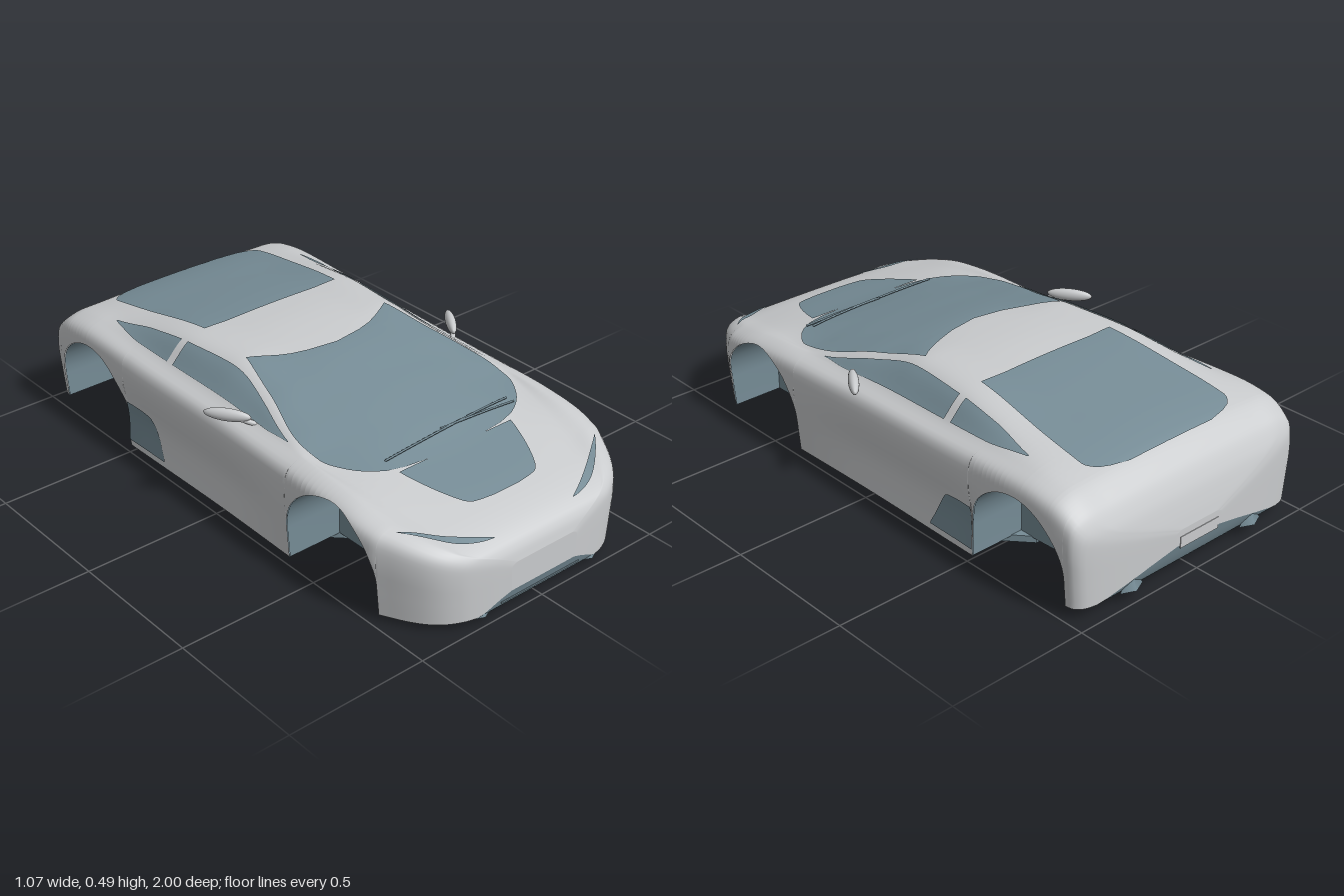
import * as THREE from 'three';

const silver = new THREE.MeshStandardMaterial({ color: 0xc9cbcd, side: THREE.DoubleSide });
silver.name = 'silverPaint';
const slate = new THREE.MeshStandardMaterial({ color: 0x768c96, side: THREE.DoubleSide });
slate.name = 'slateGlass';

// smooth monotone interpolation through [z, value] keys
function track(...k) {
  const slope = i => (k[i + 1][1] - k[i][1]) / (k[i + 1][0] - k[i][0]);
  const m = k.map((_, i) => {
    if (i === 0) return slope(0);
    if (i === k.length - 1) return slope(i - 1);
    const a = slope(i - 1), b = slope(i);
    return a * b <= 0 ? 0 : (2 * a * b) / (a + b);
  });
  return z => {
    if (z <= k[0][0]) return k[0][1];
    if (z >= k[k.length - 1][0]) return k[k.length - 1][1];
    let i = 0;
    while (z > k[i + 1][0]) i++;
    const d = k[i + 1][0] - k[i][0], s = (z - k[i][0]) / d, s2 = s * s, s3 = s2 * s;
    return (2 * s3 - 3 * s2 + 1) * k[i][1] + (s3 - 2 * s2 + s) * d * m[i]
      + (3 * s2 - 2 * s3) * k[i + 1][1] + (s3 - s2) * d * m[i + 1];
  };
}

// body lines along the length
const width = track([-1, 0.1], [-0.99, 0.25], [-0.975, 0.4], [-0.96, 0.468], [-0.93, 0.495], [-0.8, 0.506], [-0.5, 0.505],
  [0, 0.5], [0.4, 0.505], [0.65, 0.507], [0.75, 0.495], [0.8, 0.472], [0.88, 0.425], [0.93, 0.38], [0.97, 0.31], [0.99, 0.22], [1, 0.14]);
const centreTop = track([-1, 0.175], [-0.99, 0.22], [-0.97, 0.285], [-0.93, 0.35], [-0.85, 0.405], [-0.6, 0.45], [-0.34, 0.48],
  [-0.18, 0.487], [0, 0.48], [0.25, 0.435], [0.45, 0.388], [0.6, 0.347], [0.8, 0.305], [0.9, 0.278], [0.97, 0.243], [0.99, 0.215], [1, 0.18]);
const fenderTop = track([-1, 0.17], [-0.99, 0.215], [-0.97, 0.28], [-0.93, 0.342], [-0.85, 0.388], [-0.72, 0.402], [-0.3, 0.39],
  [0, 0.383], [0.3, 0.374], [0.45, 0.37], [0.6, 0.357], [0.75, 0.325], [0.9, 0.28], [0.97, 0.24], [0.99, 0.212], [1, 0.178]);
const railX = track([-0.95, 0.33], [-0.6, 0.36], [-0.3, 0.345], [-0.05, 0.325], [0.2, 0.38], [0.4, 0.415], [0.6, 0.38], [0.9, 0.3]);
const railY = track([-1, 0.173], [-0.99, 0.218], [-0.97, 0.283], [-0.93, 0.346], [-0.85, 0.396], [-0.6, 0.434], [-0.3, 0.471],
  [-0.1, 0.474], [0.1, 0.437], [0.3, 0.39], [0.4, 0.37], [0.6, 0.347], [0.8, 0.303], [0.9, 0.275], [0.97, 0.241], [0.99, 0.213], [1, 0.179]);
const bottom = track([-1, 0.12], [-0.985, 0.07], [-0.97, 0.04], [-0.9, 0.038], [-0.5, 0.02], [0.8, 0.02], [0.98, 0.025], [1, 0.08]);
const doorInset = track([-0.6, 0], [-0.4, 0.022], [0, 0.02], [0.32, 0]);

// wheel arches
const arches = [{ z: 0.57, r: 0.202, y: 0.135 }, { z: -0.71, r: 0.2, y: 0.13 }];
const wellX = 0.28;
const archAt = z => arches.find(a => Math.abs(z - a.z) < a.r);
const archY = z => {
  const a = archAt(z);
  return a ? a.y + Math.sqrt(a.r * a.r - (z - a.z) ** 2) : 0;
};
const floorY = z => (z < -0.76 && z > -0.905 ? 0.1 : bottom(z));

// half cross-section: t = 0 lower edge, 4 fender crest, 5 roof rail, 7 centre line
const cache = new Map();
function section(z) {
  if (!cache.has(z)) {
    const w = width(z), b = bottom(z), f = fenderTop(z) - b, rx = Math.min(railX(z), 0.82 * w), top = centreTop(z);
    const midY = top - 0.25 * (top - railY(z));
    const pts = [[0.965 * w, b], [0.985 * w - doorInset(z), b + 0.35 * f], [w, b + 0.72 * f], [0.975 * w, b + 0.92 * f],
      [0.87 * w, b + f], [rx, railY(z)], [rx / 2, midY], [0, top], [-rx / 2, midY]];
    cache.set(z, new THREE.CatmullRomCurve3(pts.map(p => new THREE.Vector3(p[0], p[1], z))));
  }
  return cache.get(z);
}
const raw = (t, z) => section(z).getPoint(t / 8);
function skin(t, z, off = 0.004) {
  const p = raw(t, z), e = 0.004;
  const dt = raw(t + 0.02, z).sub(raw(t - 0.02 < 0 ? 0 : t - 0.02, z));
  const dz = raw(t, Math.min(z + e, 1)).sub(raw(t, Math.max(z - e, -1)));
  return p.addScaledVector(dt.cross(dz).normalize(), off);
}
function solve(test, lo, hi) {
  for (let i = 0; i < 26; i++) {
    const m = (lo + hi) / 2;
    if (test(m)) hi = m; else lo = m;
  }
  return (lo + hi) / 2;
}
const tAtX = (x, z) => solve(t => raw(t, z).x < x, 3, 7);
const tAtY = (y, z) => solve(t => raw(t, z).y > y, 0, 4);
const onTop = (x, z, off) => {
  const p = skin(tAtX(Math.abs(x), z), z, off);
  if (x < 0) p.x *= -1;
  return p;
};

const span = (a, b, n) => Array.from({ length: n + 1 }, (_, i) => a + ((b - a) * i) / n);

// surface from rows of points
function grid(rows) {
  const n = rows[0].length, idx = [];
  for (let i = 0; i < rows.length - 1; i++)
    for (let j = 0; j < n - 1; j++) {
      const a = i * n + j, c = a + n;
      idx.push(a, a + 1, c, a + 1, c + 1, c);
    }
  const g = new THREE.BufferGeometry().setFromPoints(rows.flat());
  g.setIndex(idx);
  g.computeVertexNormals();
  return g;
}
const flip = p => new THREE.Vector3(-p.x, p.y, p.z);

export function createModel() {
  const car = new THREE.Group();
  car.name = 'sportsCar';
  const add = (name, geo, mat) => {
    const m = new THREE.Mesh(geo, mat);
    m.name = name;
    car.add(m);
    return m;
  };
  const addPair = (name, rows, mat) => {
    add(name + 'Left', grid(rows), mat);
    add(name + 'Right', grid(rows.map(r => r.map(flip).reverse())), mat);
  };

  // lengthwise stations, denser at the ends and arches
  const zs = span(-1, 1, 130).map(s => Math.sin((s * Math.PI) / 2));
  for (const a of arches) {
    for (let k = 0; k <= 28; k++) zs.push(a.z + a.r * 0.9999 * Math.cos((k * Math.PI) / 28));
    zs.push(a.z - a.r - 0.0005, a.z + a.r + 0.0005);
  }
  zs.push(-0.7595, -0.7605, -0.9045, -0.9055);
  zs.sort((p, q) => p - q);

  // outer shell with the arches cut into its lower edge
  const rows = zs.map(z => {
    const t0 = archAt(z) ? tAtY(archY(z), z) : 0;
    const half = [...span(t0, 4, 14), ...span(4, 7, 24).slice(1)].map(t => raw(t, z));
    return [...half, ...half.slice(0, -1).reverse().map(flip)];
  });
  const cap = row => row.map(p => new THREE.Vector3(0, p.y, p.z));
  add('bodyShell', grid([cap(rows[0]), ...rows, cap(rows[rows.length - 1])]), silver);

  // floor
  add('floor', grid(zs.map(z => {
    const x = archAt(z) ? wellX : 0.965 * width(z);
    return [-x, 0, x].map(v => new THREE.Vector3(v, floorY(z), z));
  })), slate);
  const belly = new THREE.Shape([[0.2, 0.6], [0.25, 0.4], [0.35, 0.3], [0.35, -0.48], [0.27, -0.57],
    [-0.27, -0.57], [-0.35, -0.48], [-0.35, 0.3], [-0.25, 0.4], [-0.2, 0.6]].map(p => new THREE.Vector2(p[0], p[1])));
  const bellyGeo = new THREE.ExtrudeGeometry(belly, { depth: 0.024, bevelEnabled: false });
  bellyGeo.rotateX(Math.PI / 2).translate(0, 0.024, 0);
  add('bellyPlate', bellyGeo, slate);

  // wheel wells: arched liner and inner wall
  arches.forEach((a, i) => {
    const name = i ? 'rearWell' : 'frontWell';
    const path = [[a.z - a.r, bottom(a.z - a.r)], ...span(Math.PI, 0, 20).map(q => [a.z + a.r * Math.cos(q), a.y + a.r * Math.sin(q)]),
      [a.z + a.r, bottom(a.z + a.r)]];
    addPair(name + 'Liner', path.map(([z, y]) => {
      const zc = THREE.MathUtils.clamp(z, a.z - a.r * 0.9999, a.z + a.r * 0.9999);
      const edge = raw(tAtY(y, zc), zc).x - 0.002;
      return [wellX, edge].map(x => new THREE.Vector3(x, y, z));
    }), slate);
    const inside = zs.filter(z => Math.abs(z - a.z) < a.r);
    addPair(name + 'Wall', inside.map(z => [floorY(z), archY(z)].map(y => new THREE.Vector3(wellX, y, z))), slate);
  });

  // glass laid on the shell; each strip runs from an outer to an inner line
  const topPanel = (name, z0, z1, outer, inner = () => 0, n = 40) =>
    addPair(name, span(z0, z1, n).map(z => span(outer(z), Math.min(inner(z), outer(z)), 12).map(x => onTop(x, z))), slate);
  topPanel('windscreen', -0.08, 0.61,
    track([-0.08, 0.3], [0.1, 0.345], [0.35, 0.408], [0.42, 0.405], [0.5, 0.365], [0.57, 0.28], [0.6, 0.16], [0.61, 0.01]),
    z => (z < 0.02 ? 0.3 * Math.sqrt((0.02 - z) / 0.1) : 0));
  topPanel('hoodPanel', 0.6, 0.825, track([0.6, 0.24], [0.63, 0.232], [0.79, 0.16], [0.815, 0.13], [0.825, 0.05]));
  topPanel('rearWindow', -0.867, -0.325, track([-0.867, 0.18], [-0.845, 0.28], [-0.8, 0.318], [-0.325, 0.285]));

  const sill = track([-0.68, 4.42], [-0.5, 4.12], [0.18, 4.12], [0.3, 4.4]);
  const header = track([-0.68, 4.45], [-0.5, 4.82], [-0.2, 4.88], [0.12, 4.8], [0.3, 4.43]);
  const sidePanel = (name, z0, z1) =>
    addPair(name, span(z0, z1, 24).map(z => span(sill(z), header(z), 6).map(t => skin(t, z))), slate);
  sidePanel('doorWindow', -0.315, 0.29);
  sidePanel('quarterWindow', -0.67, -0.345);

  // side air intakes
  const intakeTop = track([-0.509, 0.2], [-0.39, 0.187], [-0.31, 0.05]);
  addPair('sideIntake', span(-0.509, -0.31, 14).map(z =>
    span(tAtY(0.043, z), tAtY(intakeTop(z), z), 6).map(t => skin(t, z))), slate);

  // slim headlights
  addPair('headlight', span(0, 1, 20).map(s => {
    const x = 0.17 + 0.255 * s, z = 0.945 - 0.06 * s - 0.09 * s * s, h = 0.014 * Math.sin(Math.PI * s) + 0.001;
    return [onTop(x, z - h), onTop(x, z + h)];
  }), slate);

  // wipers
  const wiper = (name, x0, z0, x1, z1) => {
    const c = new THREE.CatmullRomCurve3(span(0, 1, 8).map(s => onTop(x0 + (x1 - x0) * s, z0 + (z1 - z0) * s, 0.012)));
    add(name, new THREE.TubeGeometry(c, 24, 0.004, 5), slate);
  };
  wiper('wiperBlade', -0.25, 0.545, 0.3, 0.515);
  wiper('wiperArm', 0.0, 0.525, 0.31, 0.54);

  // mirrors and bumper fins on both sides
  for (const s of [1, -1]) {
    const side = s > 0 ? 'Left' : 'Right';
    const mirror = add('mirror' + side, new THREE.SphereGeometry(1, 20, 12), silver);
    mirror.scale.set(0.08, 0.022, 0.018);
    mirror.rotation.y = s > 0 ? 0.96 : Math.PI - 0.96;
    mirror.position.set(s * 0.486, 0.402, 0.06);
    const arm = new THREE.LineCurve3(new THREE.Vector3(s * 0.42, 0.375, 0.14), new THREE.Vector3(s * 0.47, 0.397, 0.09));
    add('mirrorArm' + side, new THREE.TubeGeometry(arm, 1, 0.009, 8), silver);
    for (const [name, x, y, z] of [['frontFin', 0.235, 0.052, 0.968], ['rearFin', 0.27, 0.07, -0.978]]) {
      const fin = add(name + side, new THREE.ConeGeometry(0.05, 0.06, 4).toNonIndexed(), slate);
      fin.scale.z = 0.45;
      fin.position.set(s * x, y, z);
    }
  }

  // bumper slot and rear plate holder
  add('bumperSlot', new THREE.BoxGeometry(0.34, 0.006, 0.008), slate).position.set(0, 0.045, 0.988);
  add('rearPlate', new THREE.BoxGeometry(0.17, 0.04, 0.008), silver).position.set(0, 0.13, -0.998);
  return car;
}
